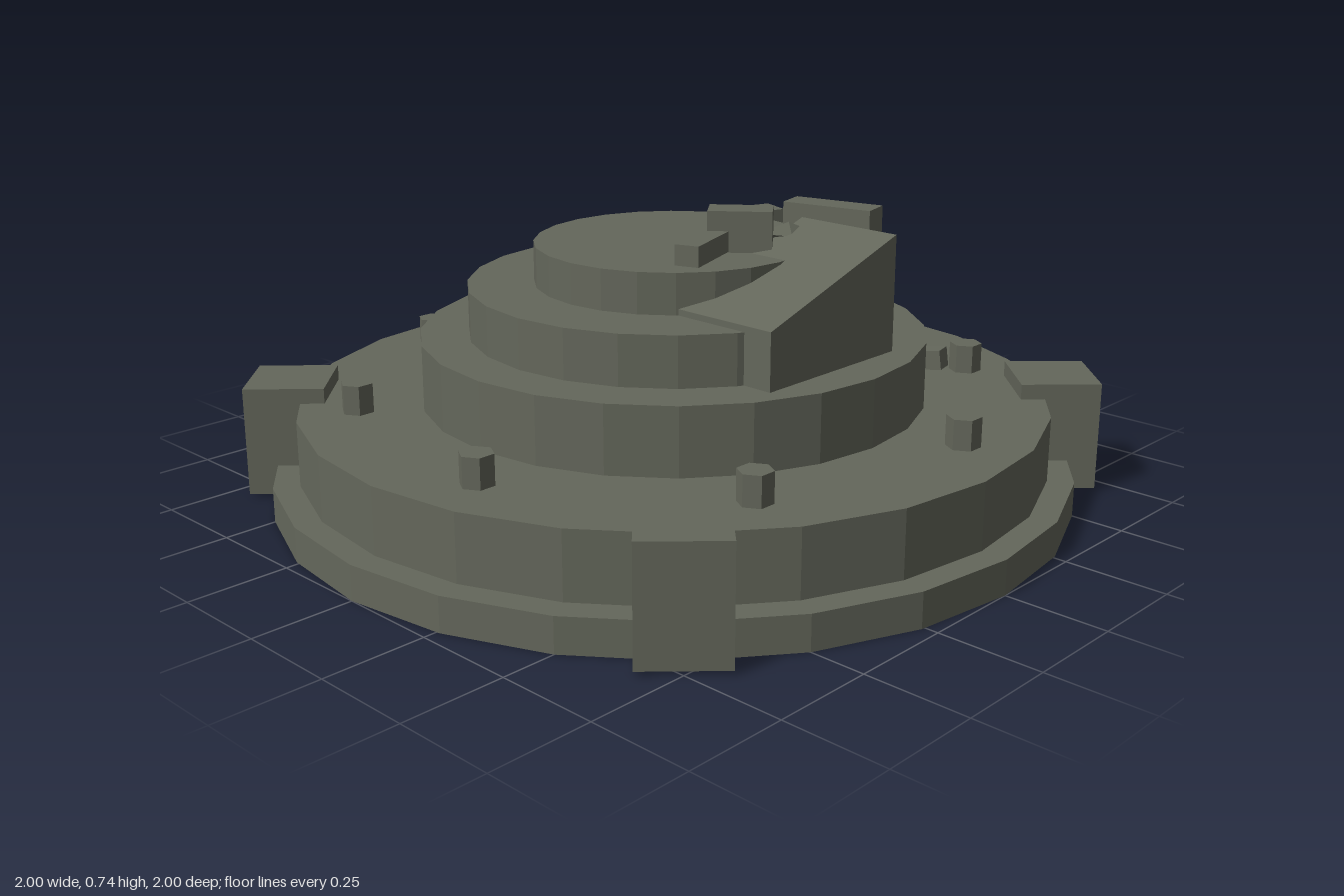
import * as THREE from 'three';

export function createModel() {
  const model = new THREE.Group();
  const stone = new THREE.MeshStandardMaterial({ color: 0x64675b, flatShading: true });
  stone.name = 'weathered grey green';

  const add = (name, geometry, x = 0, y = 0, z = 0, turn = 0) => {
    const mesh = new THREE.Mesh(geometry, stone);
    mesh.name = name;
    mesh.position.set(x, y, z);
    mesh.rotation.y = turn;
    model.add(mesh);
    return mesh;
  };

  // Stretch a z-aligned geometry between two points
  const span = (name, from, to, make) => {
    const a = new THREE.Vector3(...from), b = new THREE.Vector3(...to);
    const mesh = add(name, make(a.distanceTo(b)));
    mesh.position.copy(a).add(b).multiplyScalar(0.5);
    mesh.lookAt(b);
  };
  const bar = (name, from, to, w, h) => span(name, from, to, (l) => new THREE.BoxGeometry(w, h, l));
  const shard = (name, from, to, w, h) =>
    span(name, from, to, (l) => new THREE.OctahedronGeometry(1).scale(w / 2, h / 2, l / 2));

  // Stacked round tiers: radius, bottom, top
  [[1, 0, 0.085], [0.935, 0.085, 0.247], [0.63, 0.247, 0.412], [0.51, 0.412, 0.535], [0.345, 0.535, 0.635]]
    .forEach(([r, y0, y1], i) =>
      add('tier' + (i + 1), new THREE.CylinderGeometry(r, r, y1 - y0, 24), 0, (y0 + y1) / 2, 0));

  // Four corner buttresses
  for (const x of [-0.68, 0.68])
    for (const z of [-0.68, 0.68])
      add('buttress', new THREE.BoxGeometry(0.2, 0.275, 0.2), x, 0.1475, z, Math.PI / 4);

  // Ring of hexagonal studs
  for (let i = 0; i < 8; i++) {
    const a = 0.2 + (i * Math.PI) / 4;
    add('stud', new THREE.CylinderGeometry(0.041, 0.041, 0.09, 6),
      Math.cos(a) * 0.785, 0.275, -Math.sin(a) * 0.785);
  }

  // Sloped block: side profile in (-z, y), extruded along x
  const profile = new THREE.Shape([[-0.24, 0.4], [0.205, 0.4], [0.205, 0.695], [-0.24, 0.55]]
    .map(([u, v]) => new THREE.Vector2(u, v)));
  const wedge = new THREE.ExtrudeGeometry(profile, { depth: 0.285, bevelEnabled: false });
  add('slopedBlock', wedge.rotateY(Math.PI / 2), 0.24, 0, 0);

  // Broken masonry blocks
  add('rubbleBlock', new THREE.BoxGeometry(0.24, 0.16, 0.08), 0.19, 0.615, -0.387, 0.24);
  add('rubbleBlock', new THREE.BoxGeometry(0.085, 0.1, 0.175), -0.125, 0.58, -0.42, -0.32);
  add('rubbleBlock', new THREE.BoxGeometry(0.155, 0.105, 0.08), 0.19, 0.683, -0.035, 0.67);

  // Fallen bars
  bar('fallenBar', [-0.315, 0.56, -0.37], [-0.08, 0.56, -0.425], 0.05, 0.05);
  bar('fallenBar', [0.165, 0.662, 0.02], [0.225, 0.662, 0.19], 0.06, 0.05);
  bar('fallenBar', [0.235, 0.565, -0.36], [0.268, 0.665, -0.2], 0.05, 0.06);
  bar('fallenBar', [0.31, 0.29, -0.49], [0.455, 0.31, -0.525], 0.05, 0.05);

  // Pointed splinters
  shard('splinter', [-0.08, 0.56, -0.405], [0.06, 0.56, -0.445], 0.06, 0.06);
  shard('splinter', [0.18, 0.44, -0.5], [0.285, 0.44, -0.485], 0.06, 0.07);
  shard('splinter', [0.29, 0.66, -0.21], [0.21, 0.67, -0.07], 0.06, 0.06);
  return model;
}
